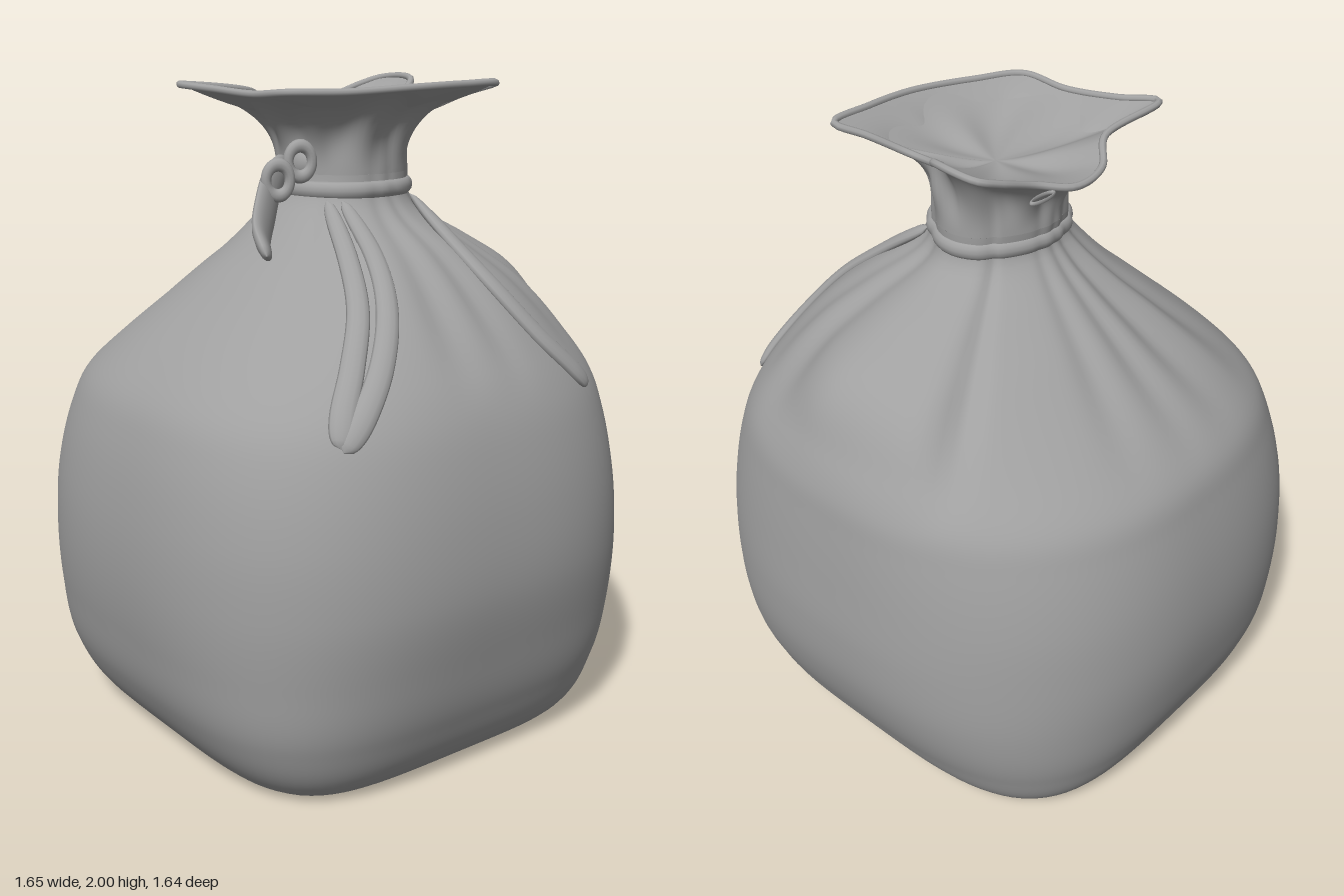
import * as THREE from 'three';

const TAU = Math.PI * 2;
const CX = 0.03, CZ = -0.02; // centre of the neck

// Outline by height: y, reach to +x, -x, +z, -z, squareness
const OUTLINE = [
  [0.00, 0.61, 0.63, 0.60, 0.57, 4.4],
  [0.03, 0.65, 0.67, 0.64, 0.62, 4.2],
  [0.20, 0.74, 0.76, 0.75, 0.73, 3.5],
  [0.40, 0.79, 0.81, 0.80, 0.80, 3.0],
  [0.60, 0.82, 0.83, 0.82, 0.82, 2.75],
  [0.80, 0.81, 0.815, 0.81, 0.81, 2.7],
  [1.00, 0.77, 0.77, 0.77, 0.79, 2.6],
  [1.10, 0.735, 0.735, 0.73, 0.775, 2.5],
  [1.20, 0.68, 0.65, 0.65, 0.735, 2.35],
  [1.40, 0.52, 0.43, 0.44, 0.61, 2.1],
  [1.50, 0.41, 0.31, 0.33, 0.45, 2],
  [1.60, 0.27, 0.20, 0.24, 0.27, 2],
  [1.65, 0.23, 0.165, 0.20, 0.235, 2],
  [1.70, 0.22, 0.17, 0.18, 0.235, 2],
  [1.80, 0.22, 0.185, 0.18, 0.24, 2],
];
const outline = new THREE.CubicInterpolant(OUTLINE.map(r => r[0]), OUTLINE.flatMap(r => r.slice(1)), 5);

// Gathers running down from the neck: angle, width, depth (negative is a ridge)
const FOLDS = [
  [-2.08, 0.07, 0.08], [-1.9, 0.12, -0.03], [-1.05, 0.13, 0.08], [-1.4, 0.15, -0.03],
  [2.8, 0.10, 0.07], [3.1, 0.09, 0.06], [-2.85, 0.10, 0.05], [2.55, 0.08, -0.04], [2.35, 0.09, 0.05],
  [0.08, 0.10, 0.05], [-0.2, 0.08, 0.04], [0.75, 0.10, 0.04], [-0.75, 0.10, 0.04],
];

function surface(theta, y, lift = 0) {
  const [xp, xn, zp, zn, square] = outline.evaluate(y);
  const c = Math.cos(theta), s = Math.sin(theta);
  const n = square + 0.25 * Math.cos(theta - Math.PI / 4);
  let r = Math.pow(Math.pow(Math.abs(c) / (c > 0 ? xp : xn), n) + Math.pow(Math.abs(s) / (s > 0 ? zp : zn), n), -1 / n);
  const fade = THREE.MathUtils.smoothstep(y, 1.1, 1.45) * (1 - 0.6 * THREE.MathUtils.smoothstep(y, 1.55, 1.68));
  for (const [angle, width, depth] of FOLDS) {
    const d = Math.atan2(Math.sin(theta - angle), Math.cos(theta - angle)) / width;
    r *= 1 - fade * depth * Math.exp(-d * d);
  }
  return new THREE.Vector3(c * (r + lift), y, s * (r + lift));
}

// Smooth skin over a grid of points, closed around each row
function skin(rows, cols, point) {
  const pos = [], index = [];
  for (let i = 0; i < rows; i++)
    for (let j = 0; j < cols; j++) pos.push(...point(i, j).toArray());
  for (let i = 0; i < rows - 1; i++)
    for (let j = 0; j < cols; j++) {
      const k = (j + 1) % cols, a = i * cols + j, c = i * cols + k;
      index.push(a, a + cols, c, a + cols, c + cols, c);
    }
  const g = new THREE.BufferGeometry();
  g.setAttribute('position', new THREE.Float32BufferAttribute(pos, 3));
  g.setIndex(index);
  g.computeVertexNormals();
  return g;
}

// Flattened band along a path, with rounded ends; normalAt gives its facing
function band(path, halfWidth, halfThick, normalAt, rows = 45) {
  const cols = 12, last = rows - 1;
  return skin(rows, cols, (i, j) => {
    const t = i / last, p = path.getPoint(t), T = path.getTangent(t);
    const N = normalAt(p);
    N.addScaledVector(T, -N.dot(T)).normalize();
    const side = new THREE.Vector3().crossVectors(T, N);
    const taper = Math.sqrt(Math.max(0, 1 - Math.pow(Math.abs(2 * t - 1), 8)));
    const a = (j / cols) * TAU;
    return p.addScaledVector(side, Math.cos(a) * halfWidth(t) * taper)
      .addScaledVector(N, Math.sin(a) * halfThick * taper);
  });
}

function surfaceNormal(p) {
  const th = Math.atan2(p.z, p.x), e = 0.02;
  const up = surface(th, p.y + e).sub(surface(th, p.y - e));
  const around = surface(th + e, p.y).sub(surface(th - e, p.y));
  return up.cross(around).normalize();
}

const curve = (pts, closed = false) => new THREE.CatmullRomCurve3(pts.map(p => new THREE.Vector3(...p)), closed);

export function createModel() {
  const group = new THREE.Group();
  const cloth = new THREE.MeshStandardMaterial({ color: 0xa0a0a0, side: THREE.DoubleSide });
  const add = (name, geometry) => {
    const mesh = new THREE.Mesh(geometry, cloth);
    mesh.name = name;
    group.add(mesh);
    return mesh;
  };

  // Sack body, from the flat base up to the neck
  const rings = [[0, 0], [0, 0.6], [0, 0.96], [0, 1]];
  for (let i = 1; i <= 90; i++) rings.push([1.72 * i / 90, 1]);
  add('sackBody', skin(rings.length, 144, (i, j) => {
    const [y, k] = rings[i];
    const p = surface((j / 144) * TAU, y);
    p.x *= k;
    p.z *= k;
    return p;
  }));

  // Ruffled mouth flaring from the neck to an uneven rim with a notch at the back
  const rim = curve([
    [0.37, 1.975, 0], [0.31, 1.965, 0.2], [0.23, 1.965, 0.33], [0.07, 1.955, 0.34], [-0.1, 1.965, 0.37],
    [-0.22, 1.975, 0.41], [-0.22, 1.95, 0.16], [-0.29, 1.91, 0.06], [-0.3, 1.9, -0.06],
    [-0.24, 1.92, -0.16], [-0.22, 1.96, -0.28], [-0.19, 1.98, -0.34], [-0.03, 1.98, -0.33],
    [0.03, 1.92, -0.24], [0.17, 1.9, -0.21], [0.28, 1.95, -0.28], [0.36, 1.98, -0.33], [0.375, 1.98, -0.18],
  ], true);
  add('ruffledMouth', skin(26, 144, (i, j) => {
    const t = i / 25, edge = rim.getPoint(j / 144);
    const th = Math.atan2(edge.z - CZ, edge.x - CX);
    const neck = surface(th, 1.72);
    const out = Math.pow(t, 2.6);
    const ripple = 1 + 0.05 * Math.sin(th * 9) * Math.sin(Math.PI * t) ** 2;
    return new THREE.Vector3(
      CX + (neck.x + (edge.x - neck.x) * out - CX) * ripple,
      neck.y + (edge.y - neck.y) * Math.pow(t, 0.85),
      CZ + (neck.z + (edge.z - neck.z) * out - CZ) * ripple);
  }));

  // Shallow gathered hollow inside the mouth
  add('mouthHollow', skin(22, 144, (i, j) => {
    const s = i / 21, edge = rim.getPoint(j / 144);
    const th = Math.atan2(edge.z - CZ, edge.x - CX);
    const y = 1.86 + (edge.y - 1.86) * (1 - s) ** 2 + 0.008 * Math.sin(th * 6) * Math.sin(Math.PI * s) ** 2;
    return new THREE.Vector3(edge.x + (CX - edge.x) * s, y, edge.z + (CZ - edge.z) * s);
  }));

  // Rolled hem along the rim
  add('rimHem', new THREE.TubeGeometry(rim, 144, 0.011, 8, true));

  // Drawn cord sunk into the neck
  add('neckCord', skin(13, 96, (i, j) => {
    const a = (i / 12) * TAU;
    const p = surface((j / 96) * TAU, 1.675, -0.004 - 0.02 * Math.cos(a));
    p.y += 0.026 * Math.sin(a);
    return p;
  }));

  // Cord ends lying over the shoulder: pairs of angle and height
  const ends = {
    frontCordUpper: [[0.55, 1.65], [0.36, 1.5], [0.38, 1.38], [0.46, 1.25], [0.55, 1.14], [0.62, 1.06]],
    frontCordLower: [[0.75, 1.65], [0.55, 1.5], [0.53, 1.38], [0.58, 1.25], [0.62, 1.15], [0.63, 1.07]],
    backCord: [[-0.7, 1.65], [-0.45, 1.52], [-0.4, 1.4], [-0.46, 1.26], [-0.55, 1.16], [-0.61, 1.1]],
  };
  for (const [name, pts] of Object.entries(ends)) {
    const path = curve(pts.map(([th, y]) => surface(th, y, 0.006).toArray()));
    add(name, band(path, t => 0.028 + 0.012 * t, 0.018, surfaceNormal));
  }

  // Loose tie hanging off the front of the neck
  const tie = curve([
    [-0.02, 1.76, 0.17], [0.03, 1.7, 0.25], [0.12, 1.63, 0.34], [0.2, 1.57, 0.41], [0.3, 1.53, 0.46],
  ]);
  add('frontTie', band(tie, t => 0.035 + 0.022 * Math.sin(Math.PI * t), 0.02, () => new THREE.Vector3(-0.7, -0.3, 0.62)));

  // Small bow loops between the neck and the tie
  for (const [x, y, z] of [[0.1, 1.76, 0.2], [0.1, 1.71, 0.28]]) {
    const loop = add('bowLoop', new THREE.TorusGeometry(0.036, 0.016, 10, 28));
    loop.position.set(x, y, z);
    loop.rotation.y = 1.2;
    loop.scale.y = 1.25;
  }

  // Knot at the neck
  const knot = add('tieKnot', new THREE.SphereGeometry(0.045, 20, 14));
  knot.position.set(0.05, 1.75, 0.16);
  knot.scale.set(1.4, 1.1, 0.8);

  // Loose thread beside the rim
  const thread = add('looseThread', new THREE.TorusGeometry(0.045, 0.006, 8, 24));
  thread.position.set(-0.29, 1.91, -0.19);
  thread.rotation.set(Math.PI / 2, 0, 0);
  thread.scale.x = 0.3;

  return group;
}
